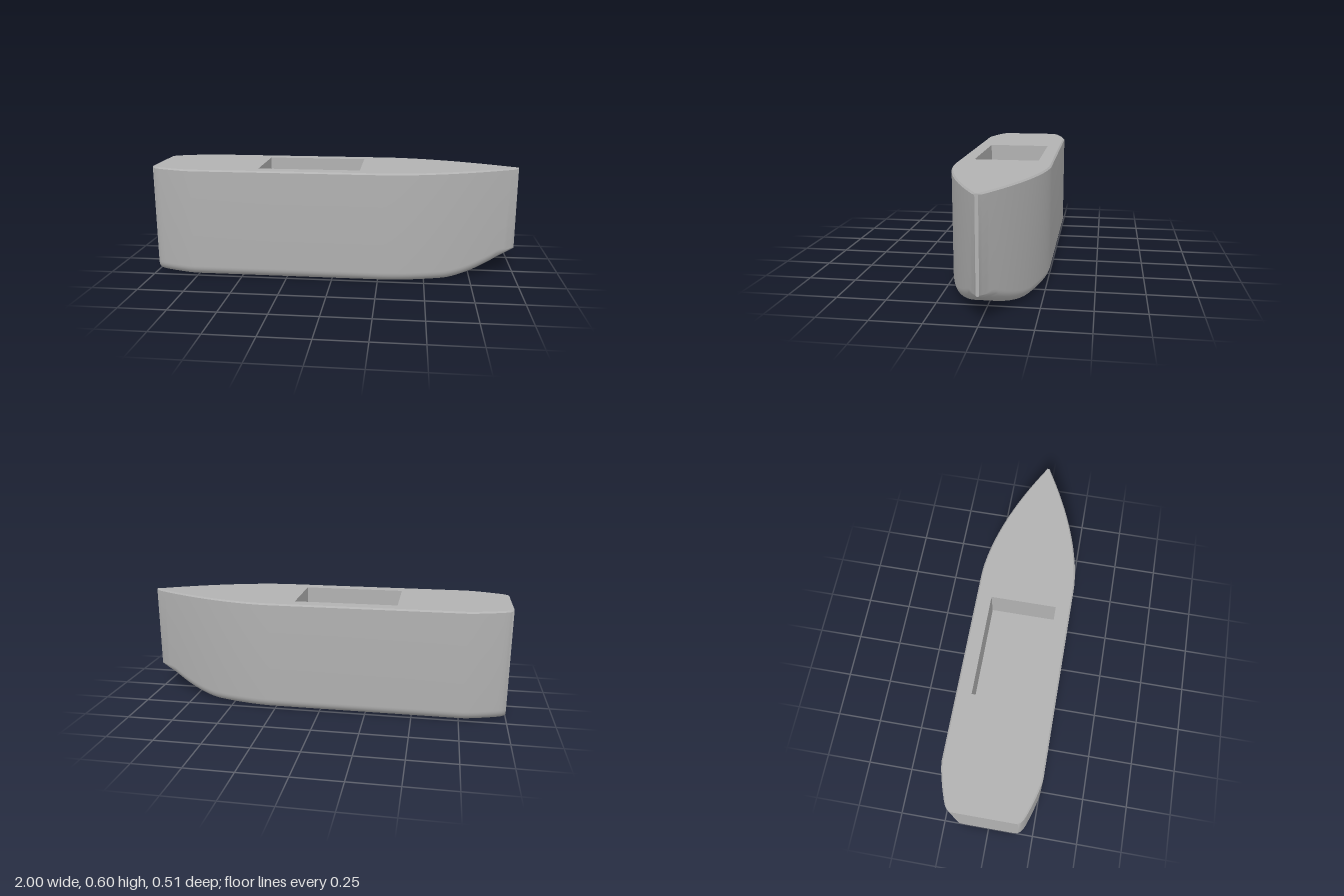
import * as THREE from 'three';
import { toCreasedNormals } from 'three/addons/utils/BufferGeometryUtils.js';

const TOP = 0.597;
const POCKET = { x0: -0.405, x1: 0.145, halfWidth: 0.175, depth: 0.18 };

// Half-breadth of the hull at each station: [x, halfWidth]
function makeStations() {
  const list = [
    [-1, 0.168], [-0.99, 0.181], [-0.975, 0.193], [-0.95, 0.204], [-0.9, 0.222],
    [-0.85, 0.237], [-0.8, 0.25], [-0.765, 0.255], [-0.3, 0.255],
  ];
  const n = 36;
  for (let i = 0; i <= n; i++) {
    const t = i / n;
    list.push([0.27 + 0.73 * t, 0.008 + 0.247 * (1 - Math.pow(t, 1.7))]);
  }
  return list;
}

// Keel line: flat, then rising towards the bow
const keel = (x) => 0.14 * Math.pow(Math.max(0, (x - 0.6) / 0.4), 1.6);
const chamfer = (w) => Math.min(0.008, w * 0.4);

// Cross-section [z, y] from the +z deck edge, under the keel, to the -z deck edge
function section([x, w]) {
  const y0 = keel(x), r = Math.min(0.052, w * 0.9), c = chamfer(w);
  const half = [[w - c, TOP], [w, TOP - c]];
  for (let k = 0; k <= 8; k++) {
    const a = (k / 8) * Math.PI / 2;
    half.push([w - r + r * Math.cos(a), y0 + r - r * Math.sin(a)]);
  }
  return [...half, ...half.slice().reverse().map(([z, y]) => [-z, y])];
}

// Skin lofted through all cross-sections
function shellGeometry(stations) {
  const pos = [], idx = [];
  const m = section(stations[0]).length;
  stations.forEach((s, i) => {
    section(s).forEach(([z, y], j) => {
      pos.push(s[0], y, z);
      if (i < stations.length - 1 && j < m - 1) {
        const a = i * m + j, b = a + 1, c = a + m, d = c + 1;
        idx.push(a, b, c, b, d, c);
      }
    });
  });
  const g = new THREE.BufferGeometry();
  g.setAttribute('position', new THREE.Float32BufferAttribute(pos, 3));
  g.setIndex(idx);
  return toCreasedNormals(g, 0.55);
}

// Flat end cap in the shape of one cross-section; dir is -1 for stern, 1 for bow
function capGeometry(station, dir) {
  const shape = new THREE.Shape(section(station).map(([z, y]) => new THREE.Vector2(z, y)));
  return new THREE.ShapeGeometry(shape).rotateY(dir * Math.PI / 2).translate(station[0], 0, 0);
}

// Deck plate with the rectangular opening
function deckGeometry(stations) {
  const side = stations.map(([x, w]) => new THREE.Vector2(x, w - chamfer(w)));
  const mirrored = side.slice().reverse().map((p) => new THREE.Vector2(p.x, -p.y));
  const shape = new THREE.Shape([...side, ...mirrored]);
  const { x0, x1, halfWidth: h } = POCKET;
  shape.holes.push(new THREE.Path([[x0, -h], [x1, -h], [x1, h], [x0, h]].map(([x, y]) => new THREE.Vector2(x, y))));
  return new THREE.ShapeGeometry(shape).rotateX(-Math.PI / 2).translate(0, TOP, 0);
}

// Open-topped box turned inside out
function pocketGeometry() {
  const { x0, x1, halfWidth, depth } = POCKET;
  const box = new THREE.BoxGeometry(x1 - x0, depth, halfWidth * 2);
  const faces = Array.from(box.index.array);
  faces.splice(12, 6);
  box.setIndex(faces.reverse());
  box.clearGroups();
  const g = box.toNonIndexed();
  g.computeVertexNormals();
  return g.translate((x0 + x1) / 2, TOP - depth / 2, 0);
}

export function createModel() {
  const group = new THREE.Group();
  group.name = 'boatHull';
  const grey = new THREE.MeshStandardMaterial({ color: 0xb2b2b2 });
  grey.name = 'hull grey';
  const stations = makeStations();
  const add = (name, geometry) => {
    const mesh = new THREE.Mesh(geometry, grey);
    mesh.name = name;
    group.add(mesh);
  };
  add('hullShell', shellGeometry(stations));
  add('transom', capGeometry(stations[0], -1));
  add('stem', capGeometry(stations[stations.length - 1], 1));
  add('deck', deckGeometry(stations));
  add('cargoWell', pocketGeometry());
  return group;
}
